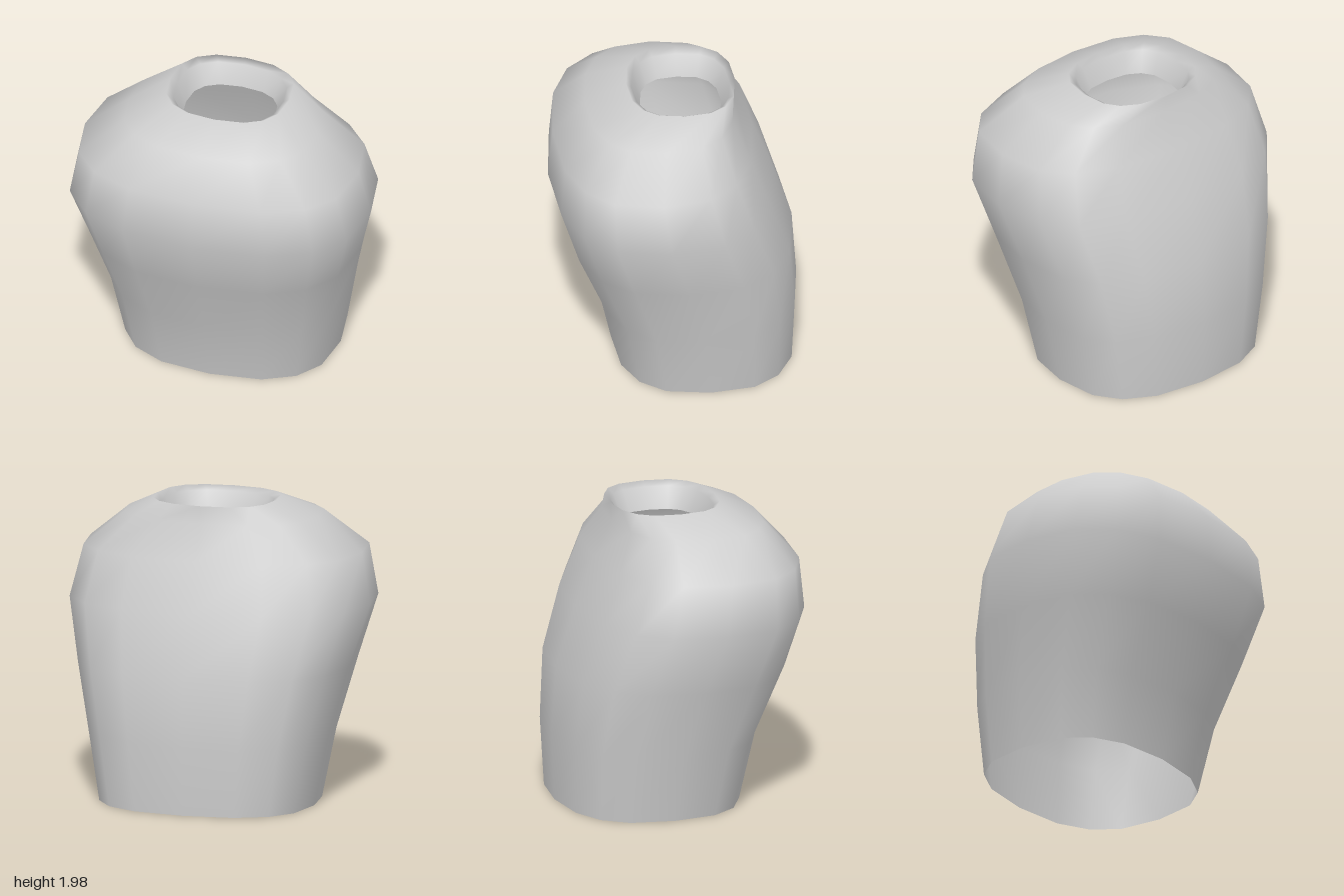
import * as THREE from 'three';

// Quarter of the rounded-square cross-section, from the side (+x) to the front (+z)
const QUARTER = [[1, 0], [0.94, 0.485], [0.77, 0.76], [0.48, 0.935]];

// Full 16-point outline; the second and fourth quarters are mirrored
function unitRing() {
  const half = [...QUARTER, [0, 1], ...QUARTER.slice(1).reverse().map(([x, z]) => [-x, z])];
  return [...half, ...half.map(([x, z]) => [-x, -z])];
}

// Joins rings of [y, half width, front z, back z] into one smooth open skin
function loft(rings) {
  const outline = unitRing();
  const n = outline.length;
  const positions = [];
  const index = [];
  rings.forEach(([y, w, front, back], r) => {
    const mid = (front + back) / 2;
    const depth = (front - back) / 2;
    for (const [x, z] of outline) positions.push(x * w, y, mid + z * depth);
    if (r === rings.length - 1) return;
    for (let i = 0; i < n; i++) {
      const a = r * n + i;
      const b = r * n + (i + 1) % n;
      index.push(a, a + n, b, b, a + n, b + n);
    }
  });
  const geometry = new THREE.BufferGeometry();
  geometry.setAttribute('position', new THREE.Float32BufferAttribute(positions, 3));
  geometry.setIndex(index);
  geometry.computeVertexNormals();
  return geometry;
}

export function createModel() {
  const group = new THREE.Group();
  group.name = 'torso';

  const grey = new THREE.MeshStandardMaterial({ color: 0xcccccc, side: THREE.DoubleSide });
  grey.name = 'light grey';

  // Body shell from the open waist to the neck, then turned down inside the collar
  const shell = new THREE.Mesh(loft([
    [0.00, 0.71, 0.40, -0.79],
    [0.45, 0.79, 0.50, -0.81],
    [0.90, 0.895, 0.69, -0.78],
    [1.30, 1.00, 0.81, -0.65],
    [1.63, 0.93, 0.78, -0.52],
    [1.86, 0.645, 0.57, -0.40],
    [1.98, 0.405, 0.30, -0.41],
    [1.95, 0.36, 0.265, -0.375],
    [1.81, 0.30, 0.21, -0.32],
  ]), grey);
  shell.name = 'torsoShell';
  group.add(shell);

  return group;
}
